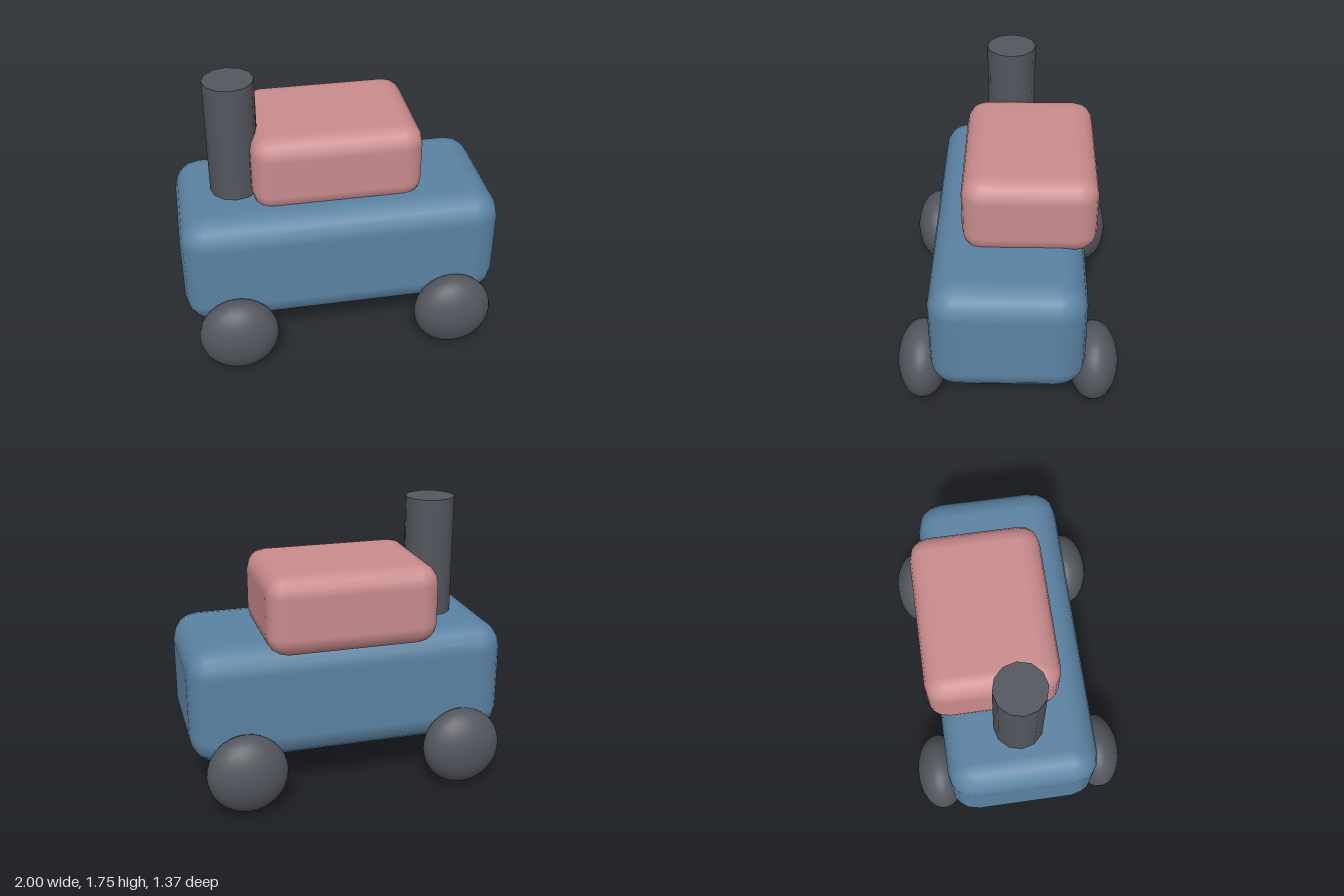
import * as THREE from 'three';
import { RoundedBoxGeometry } from 'three/addons/geometries/RoundedBoxGeometry.js';

function material(name, color) {
  const m = new THREE.MeshStandardMaterial({ color });
  m.name = name;
  return m;
}

export function createModel() {
  const model = new THREE.Group();
  model.name = 'toyVehicle';
  const blue = material('dusty blue', 0x5b82a2);
  const pink = material('dusty pink', 0xc98b8d);
  const grey = material('slate grey', 0x53565e);

  function add(name, geometry, mat, x, y, z) {
    const mesh = new THREE.Mesh(geometry, mat);
    mesh.name = name;
    mesh.position.set(x, y, z);
    model.add(mesh);
    return mesh;
  }

  // Long rounded body
  add('body', new RoundedBoxGeometry(2, 0.745, 0.935, 2, 0.165), blue, 0, 0.6275, 0);

  // Cabin, set towards the back and overhanging the body
  add('cabin', new RoundedBoxGeometry(1.06, 0.5, 0.81, 2, 0.125), pink, 0, 1.19, -0.125);

  // Chimney at the right end, sunk a little into the body
  add('chimney', new THREE.CylinderGeometry(0.155, 0.155, 0.8, 12), grey, -0.625, 1.35, 0);

  // Four wheels: flattened spheres
  const wheel = new THREE.SphereGeometry(0.248, 32, 20);
  wheel.rotateX(Math.PI / 2);
  wheel.scale(1, 1, 0.625);
  for (const [side, x] of [['Left', 0.687], ['Right', -0.687]]) {
    for (const [end, z] of [['front', 0.53], ['back', -0.53]]) {
      add(`${end}${side}Wheel`, wheel, grey, x, 0.25, z);
    }
  }

  return model;
}
